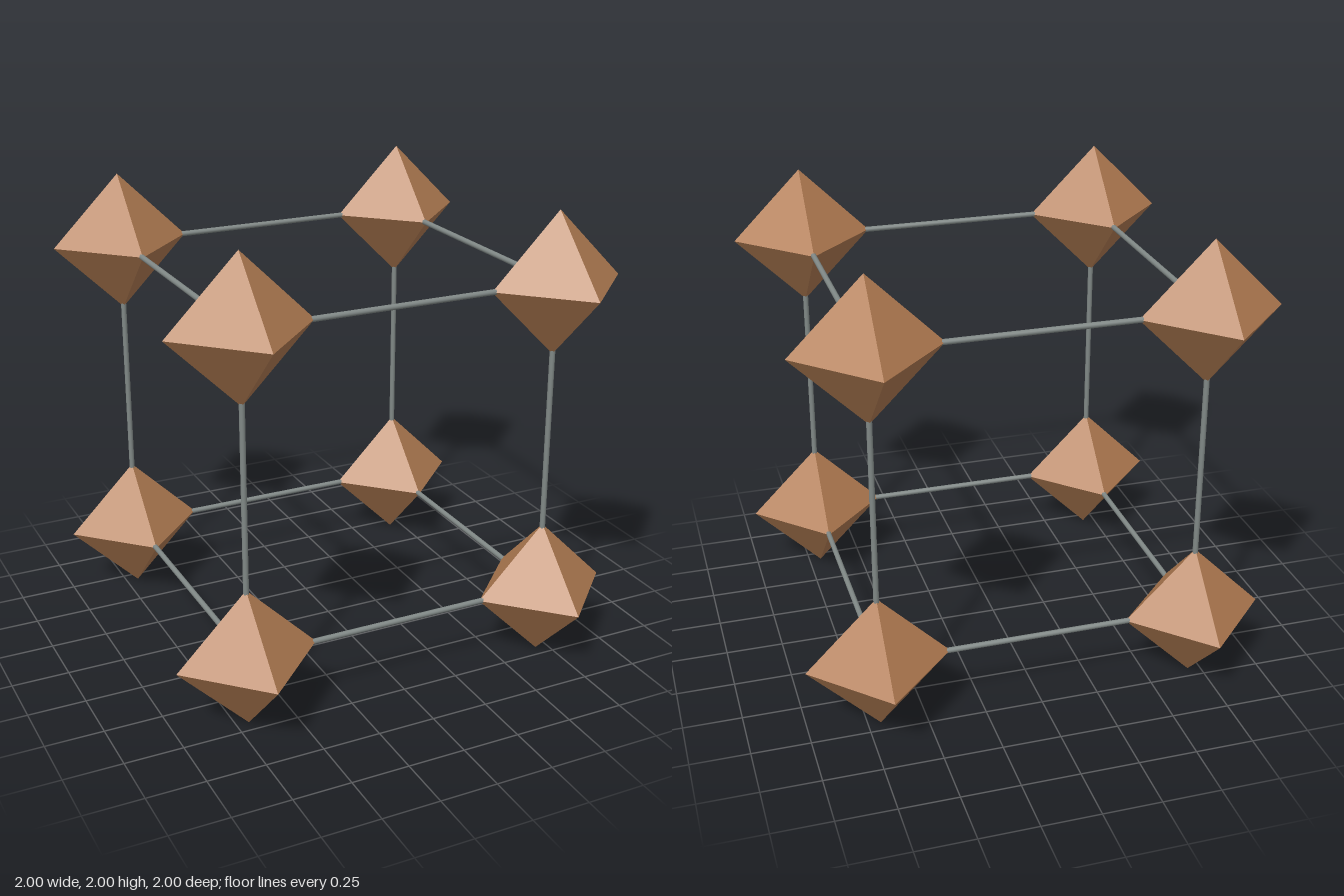
import * as THREE from 'three';

export function createModel() {
  const model = new THREE.Group();
  model.name = 'octahedronCubeFrame';

  const copper = new THREE.MeshStandardMaterial({ color: 0xb27c52 });
  copper.name = 'copper brown';
  const steel = new THREE.MeshStandardMaterial({ color: 0x808886 });
  steel.name = 'steel grey';

  const radius = 0.305;
  const offset = 1 - radius;
  const rodLength = 2 * (offset - radius) + 0.04; // ends sink into the tips

  // Octahedral nodes on the eight corners of a cube
  const nodeGeometry = new THREE.OctahedronGeometry(radius, 0);
  for (const x of [-1, 1]) for (const y of [-1, 1]) for (const z of [-1, 1]) {
    const node = new THREE.Mesh(nodeGeometry, copper);
    node.name = 'cornerOctahedron';
    node.position.set(x * offset, 1 + y * offset, z * offset);
    model.add(node);
  }

  // Thin rods joining facing tips, four along each axis
  const rodGeometry = new THREE.CylinderGeometry(0.012, 0.012, rodLength, 12);
  const up = new THREE.Vector3(0, 1, 0);
  for (let axis = 0; axis < 3; axis++) {
    const direction = new THREE.Vector3().setComponent(axis, 1);
    for (const a of [-offset, offset]) for (const b of [-offset, offset]) {
      const rod = new THREE.Mesh(rodGeometry, steel);
      rod.name = 'connectingRod';
      rod.position.setComponent((axis + 1) % 3, a).setComponent((axis + 2) % 3, b);
      rod.position.y += 1;
      rod.quaternion.setFromUnitVectors(up, direction);
      model.add(rod);
    }
  }
  return model;
}
